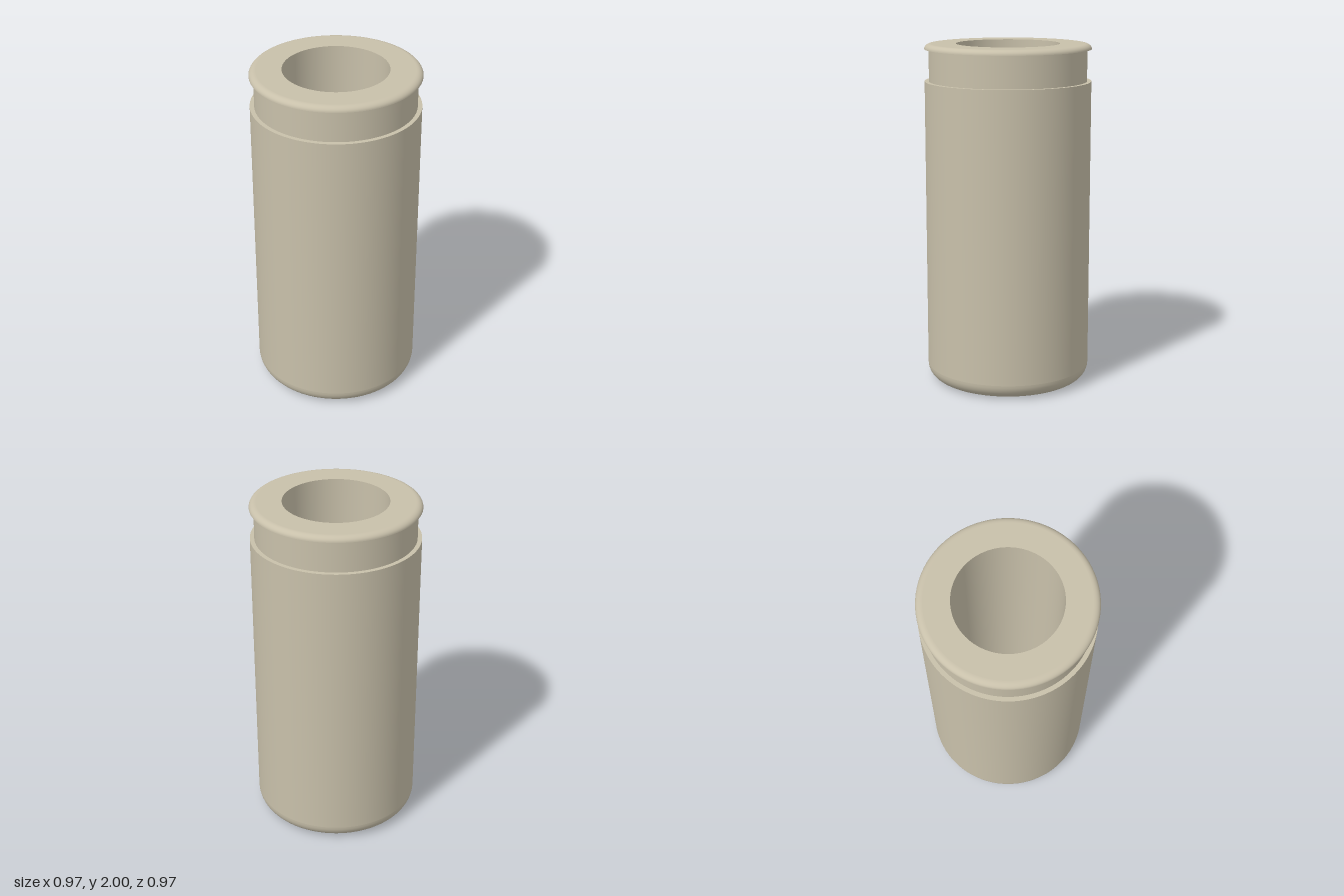
import * as THREE from 'three';
import { mergeGeometries } from 'three/addons/utils/BufferGeometryUtils.js';

const SIDES = 96;

// Quarter-round profile points, from angle a to angle b about (cx, cy)
function arc(cx, cy, rx, ry, a, b, n = 10) {
  return Array.from({ length: n + 1 }, (_, i) => {
    const t = a + ((b - a) * i) / n;
    return [cx + rx * Math.cos(t), cy + ry * Math.sin(t)];
  });
}

// Each run of points is smooth; edges between runs stay sharp
function turned(name, material, runs) {
  const parts = runs.map((run) =>
    new THREE.LatheGeometry(run.map(([x, y]) => new THREE.Vector2(x, y)), SIDES));
  const mesh = new THREE.Mesh(mergeGeometries(parts), material);
  mesh.name = name;
  return mesh;
}

export function createModel() {
  const group = new THREE.Group();
  group.name = 'container';
  const stone = new THREE.MeshStandardMaterial({ color: 0xc8c0aa });
  stone.name = 'warm grey';

  const R = 0.483, neckR = 0.458, boreR = 0.3;
  const shoulderY = 1.785, rimY = 1.97, topY = 2, floorY = 0.1;
  const round = 0.09, rimRound = 0.038;

  // Main body with rounded foot and narrow shoulder ledge
  group.add(turned('body', stone, [
    [[0, 0], [R - round, 0]],
    arc(R - round, round, round, round, -Math.PI / 2, 0),
    [[R, round], [R, shoulderY]],
    [[R, shoulderY], [neckR, shoulderY]],
  ]));

  // Recessed neck
  group.add(turned('neck', stone, [[[neckR, shoulderY], [neckR, rimY]]]));

  // Overhanging rim with rounded upper edge
  group.add(turned('rim', stone, [
    [[neckR, rimY], [R, rimY]],
    arc(R - rimRound, rimY, rimRound, topY - rimY, 0, Math.PI / 2),
    [[R - rimRound, topY], [boreR, topY]],
  ]));

  // Straight bore with flat floor
  group.add(turned('bore', stone, [
    [[boreR, topY], [boreR, floorY]],
    [[boreR, floorY], [0, floorY]],
  ]));

  return group;
}
